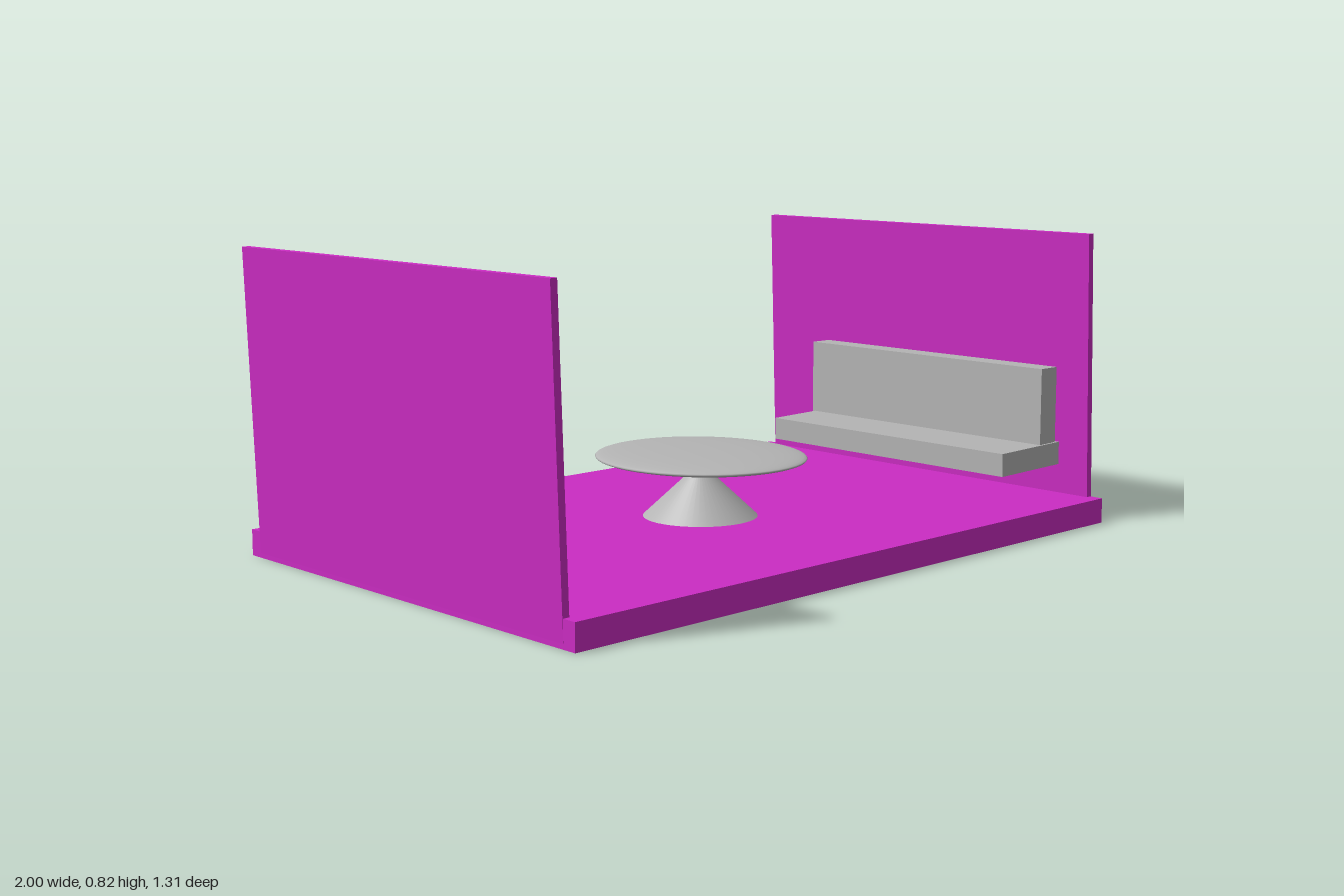
import * as THREE from 'three';

export function createModel() {
  const model = new THREE.Group();
  const magenta = new THREE.MeshStandardMaterial({ color: 0xcb2cc3 });
  const grey = new THREE.MeshStandardMaterial({ color: 0xb4b4b4, side: THREE.DoubleSide });
  magenta.name = 'magenta';
  grey.name = 'grey';

  function add(name, geometry, material, x, y, z, tilt = 0) {
    const mesh = new THREE.Mesh(geometry, material);
    mesh.name = name;
    mesh.position.set(x, y, z);
    mesh.rotation.z = tilt;
    model.add(mesh);
    return mesh;
  }

  // Floor slab
  add('floor', new THREE.BoxGeometry(1.965, 0.07, 1.31), magenta, 0.01, 0.035, 0);

  // Two end walls, both leaning slightly the same way
  for (const [name, x] of [['rightWall', -0.976], ['leftWall', 0.974]]) {
    add(name, new THREE.BoxGeometry(0.02, 0.82, 1.23), magenta, x, 0.41, 0, 0.034);
  }

  // Pedestal table: cone foot and flattened round top
  add('tableFoot', new THREE.ConeGeometry(0.16, 0.15, 48), grey, 0.01, 0.142, 0.03);
  const top = add('tableTop', new THREE.SphereGeometry(1, 48, 24), grey, 0.012, 0.233, 0.03);
  top.scale.set(0.278, 0.022, 0.3);

  // Bench along the left wall
  add('benchSeat', new THREE.BoxGeometry(0.265, 0.065, 0.877), grey, 0.8425, 0.184, 0.078, 0.015);
  add('benchBack', new THREE.BoxGeometry(0.07, 0.255, 0.88), grey, 0.925, 0.308, 0.07);

  // Projector cone on the right wall, pointing inward
  add('projector', new THREE.ConeGeometry(0.033, 0.07, 32), grey, -0.932, 0.437, 0.027, -Math.PI / 2 + 0.13);

  // Flat upright screen, paper thin
  const screen = add('screen', new THREE.PlaneGeometry(0.97, 0.405), grey, -0.9, 0.463, -0.153);
  screen.rotation.y = Math.PI / 2;

  return model;
}
